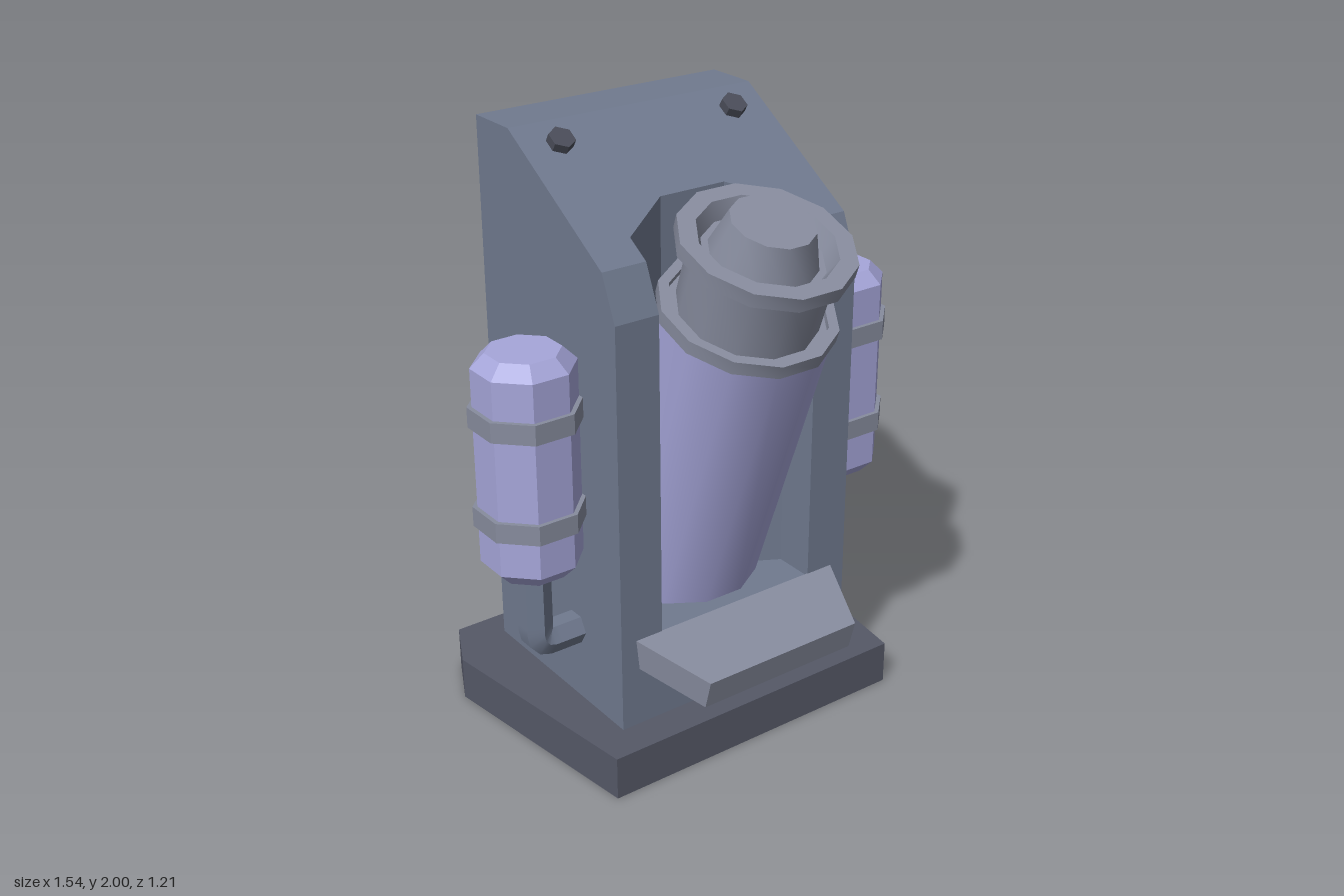
import * as THREE from 'three';
import { toCreasedNormals } from 'three/addons/utils/BufferGeometryUtils.js';

const mat = (name, color) => {
  const m = new THREE.MeshStandardMaterial({ color });
  m.name = name;
  return m;
};

const mesh = (name, geometry, material, parent) => {
  const m = new THREE.Mesh(geometry, material);
  m.name = name;
  parent.add(m);
  return m;
};

// Vertical prism over a plan of [x, z] points; topAt(z) may slope its top.
function prism(plan, bottom, topAt) {
  const shape = new THREE.Shape(plan.map(([x, z]) => new THREE.Vector2(x, -z)));
  const g = new THREE.ExtrudeGeometry(shape, { depth: 1, bevelEnabled: false });
  g.rotateX(-Math.PI / 2);
  const p = g.attributes.position;
  for (let i = 0; i < p.count; i++) {
    p.setY(i, p.getY(i) > 0.5 ? topAt(p.getZ(i)) : bottom);
  }
  g.computeVertexNormals();
  return g;
}

// Turned part with flat sides facing the axes; radii are measured to the flats.
function turned(points, sides, crease) {
  const k = 1 / Math.cos(Math.PI / sides);
  const profile = points.map(([r, y]) => new THREE.Vector2(r * k, y));
  const g = new THREE.LatheGeometry(profile, sides, Math.PI / sides);
  return toCreasedNormals(g, crease);
}

const mirrored = (half) => [...half, ...half.map(([x, z]) => [-x, z]).reverse()];

export function createModel() {
  const model = new THREE.Group();
  model.name = 'canisterStation';
  const housingBlue = mat('housing slate', 0x707a8f);
  const baseDark = mat('base charcoal', 0x555867);
  const lavender = mat('lavender', 0xa6a6da);
  const metal = mat('grey metal', 0x878c9e);
  const boltDark = mat('bolt dark', 0x4a4d59);

  // Base slab with cut rear corners
  mesh('base', prism(mirrored([[0.56, 0.35], [0.665, -0.43], [0.58, -0.605]]), 0, () => 0.15), baseDark, model);

  // Housing, in strips from back to front, with a channel open to the front
  const housing = new THREE.Group();
  housing.name = 'housing';
  model.add(housing);
  const W = 0.455, C = 0.3, slope = 0.63;
  const slopeTop = (z) => 2 - (z + 0.32) * slope;
  mesh('housingBack', prism(mirrored([[W, -0.32], [W, -0.505]]), 0.15, () => 2), housingBlue, housing);
  mesh('housingMiddle', prism(
    mirrored([[0.12, -0.01], [C, 0.09], [C, 0.17], [W, 0.17], [W, -0.32]]),
    0.15, slopeTop), housingBlue, housing);
  for (const s of [1, -1]) {
    mesh('housingFrontEdge', prism(
      [[s * C, 0.17], [s * W, 0.17], [s * W, 0.232], [s * C, 0.232]],
      0.15, (z) => slopeTop(0.17) - (z - 0.17) * 2.36), housingBlue, housing);
  }
  mesh('channelFloor', prism(
    mirrored([[C, 0.232], [C, 0.09], [0.12, -0.01]]), 0.15, () => 0.455), housingBlue, housing);

  // Sloping ledge below the channel
  const ledge = mesh('ledge', prism(mirrored([[0.4, 0], [0.295, 0.262]]), -0.105, () => 0), metal, model);
  ledge.position.set(0, 0.465, 0.23);
  ledge.rotation.x = 0.26;

  // Leaning canister with collar, neck, dished flange and knob
  const canister = new THREE.Group();
  canister.name = 'canister';
  canister.position.set(0, 0.45, -0.116);
  canister.rotation.x = 0.35;
  model.add(canister);
  mesh('canisterBody', turned([[0, 0], [0.26, 0], [0.26, 1.1], [0, 1.1]], 12, 0.6), lavender, canister);
  mesh('collarNeckAndFlange', turned([
    [0.25, 1.09], [0.272, 1.09], [0.272, 1.135], [0.24, 1.135], [0.24, 1.115], [0.215, 1.115],
    [0.215, 1.335], [0.266, 1.335], [0.266, 1.382], [0.21, 1.382], [0.185, 1.325], [0, 1.325],
  ], 12, 0.6), metal, canister);
  mesh('knob', turned([[0.165, 1.32], [0.127, 1.448], [0, 1.448]], 12, 0.6), metal, canister);

  // Bolts on the sloping top
  for (const s of [1, -1]) {
    const bolt = mesh('bolt', toCreasedNormals(new THREE.CylinderGeometry(0.043, 0.043, 0.045, 6), 0.5), boltDark, model);
    bolt.position.set(s * 0.325, slopeTop(-0.235) + 0.008, -0.235);
    bolt.rotation.x = Math.atan(slope);
  }

  // Side tanks with bands and bent feed pipes
  for (const s of [1, -1]) {
    const side = new THREE.Group();
    side.name = s > 0 ? 'leftTank' : 'rightTank';
    side.position.set(s * 0.608, 0, -0.028);
    model.add(side);
    mesh('tank', turned([
      [0, 0.683], [0.108, 0.683], [0.15, 0.73], [0.15, 1.38], [0.108, 1.425], [0, 1.425],
    ], 8, 0.3), lavender, side);
    for (const y of [0.855, 1.19]) {
      mesh('band', turned([
        [0.14, y], [0.164, y], [0.164, y + 0.066], [0.14, y + 0.066],
      ], 8, 0.3), metal, side);
    }
    const v = (x, y) => new THREE.Vector3(x * s, y, 0);
    const path = new THREE.CurvePath();
    path.add(new THREE.LineCurve3(v(0, 0.71), v(0, 0.46)));
    path.add(new THREE.QuadraticBezierCurve3(v(0, 0.46), v(0, 0.41), v(-0.05, 0.41)));
    path.add(new THREE.LineCurve3(v(-0.05, 0.41), v(-0.18, 0.41)));
    mesh('pipe', toCreasedNormals(new THREE.TubeGeometry(path, 20, 0.055, 6), 0.5), housingBlue, side);
  }
  return model;
}
